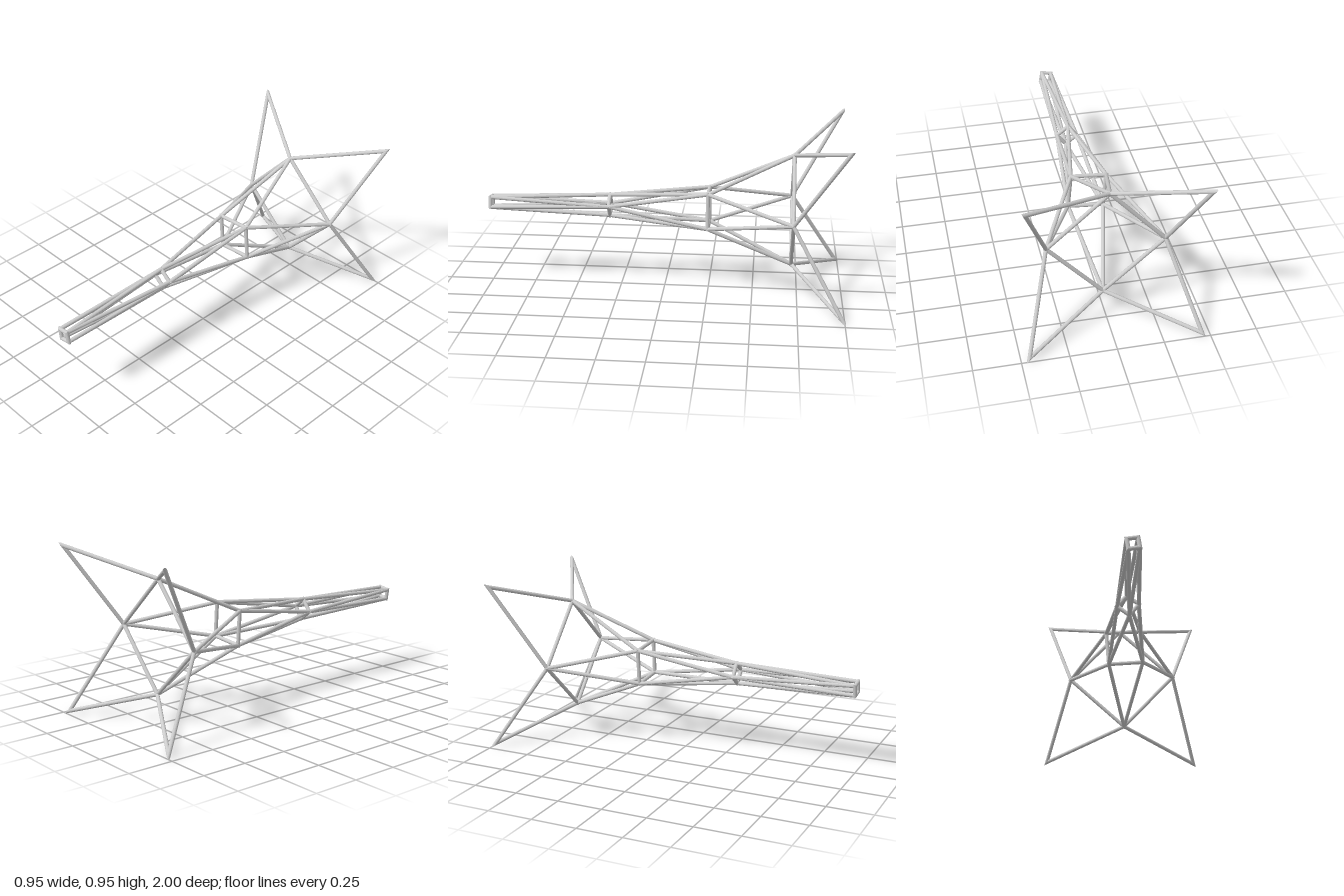
import * as THREE from 'three';

const RADIUS = 0.0108;
const SIDES = 16;
const CENTRE_Y = 0.472;

// Four nodes on a circle around the long axis; angles in degrees.
function ringNodes(radius, z, startAngle) {
  return [0, 1, 2, 3].map((i) => {
    const a = THREE.MathUtils.degToRad(startAngle + i * 90);
    return new THREE.Vector3(radius * Math.cos(a), CENTRE_Y + radius * Math.sin(a), z);
  });
}

// Closed path alternating between two rings; b[i] follows a[i] by about 45 degrees.
const zigzag = (a, b) => a.flatMap((p, i) => [p, b[i]]);

// Closed loop of straight rods, mitred where the corner is not too sharp.
function rodLoop(points) {
  const n = points.length;
  const dirs = points.map((p, i) => points[(i + 1) % n].clone().sub(p).normalize());
  const cuts = points.map((p, i) => dirs[i].clone().add(dirs[(i + n - 1) % n]).normalize());
  const pos = [];
  const index = [];

  points.forEach((p, k) => {
    const d = dirs[k];
    const helper = Math.abs(d.z) > 0.9 ? new THREE.Vector3(0, 1, 0) : new THREE.Vector3(0, 0, 1);
    const u = helper.cross(d).normalize();
    const v = d.clone().cross(u);
    const base = pos.length / 3;

    for (const end of [k, (k + 1) % n]) {
      const cut = cuts[end].dot(d) > 0.35 ? cuts[end] : d;
      for (let s = 0; s < SIDES; s++) {
        const a = (s / SIDES) * Math.PI * 2;
        const o = u.clone().multiplyScalar(Math.cos(a) * RADIUS)
          .addScaledVector(v, Math.sin(a) * RADIUS);
        o.addScaledVector(d, -o.dot(cut) / d.dot(cut)).add(points[end]);
        pos.push(o.x, o.y, o.z);
      }
    }
    // side faces
    for (let s = 0; s < SIDES; s++) {
      const a0 = base + s;
      const a1 = base + ((s + 1) % SIDES);
      index.push(a0, a1, a1 + SIDES, a0, a1 + SIDES, a0 + SIDES);
    }
    // end caps
    for (let s = 1; s < SIDES - 1; s++) {
      index.push(base, base + s + 1, base + s);
      index.push(base + SIDES, base + SIDES + s, base + SIDES + s + 1);
    }
  });

  const g = new THREE.BufferGeometry();
  g.setAttribute('position', new THREE.Float32BufferAttribute(pos, 3));
  g.setIndex(index);
  g.computeVertexNormals();
  return g;
}

export function createModel() {
  const group = new THREE.Group();
  group.name = 'twistedLatticeTower';
  const steel = new THREE.MeshStandardMaterial({ color: 0xcccccc, flatShading: true });
  steel.name = 'light grey steel';

  const add = (name, points) => {
    const mesh = new THREE.Mesh(rodLoop(points), steel);
    mesh.name = name;
    group.add(mesh);
  };

  // Rings from the splayed feet to the narrow head, each turned about 45 degrees plus a small twist.
  const feet = ringNodes(0.645, -0.988, 45);
  const lower = ringNodes(0.314, -0.715, 92.6);
  const middle = ringNodes(0.139, -0.247, 139.7);
  const upper = ringNodes(0.059, 0.31, 187);
  const head = ringNodes(0.04, 0.989, 234);

  // Square frames
  add('lowerFrame', lower);
  add('middleFrame', middle);
  add('upperFrame', upper);
  add('headFrame', head);

  // Diagonal struts between neighbouring levels
  add('footStruts', zigzag(feet, lower));
  add('lowerStruts', zigzag(lower, middle));
  add('middleStruts', zigzag(middle, upper));
  add('upperStruts', zigzag(upper, head));

  return group;
}
